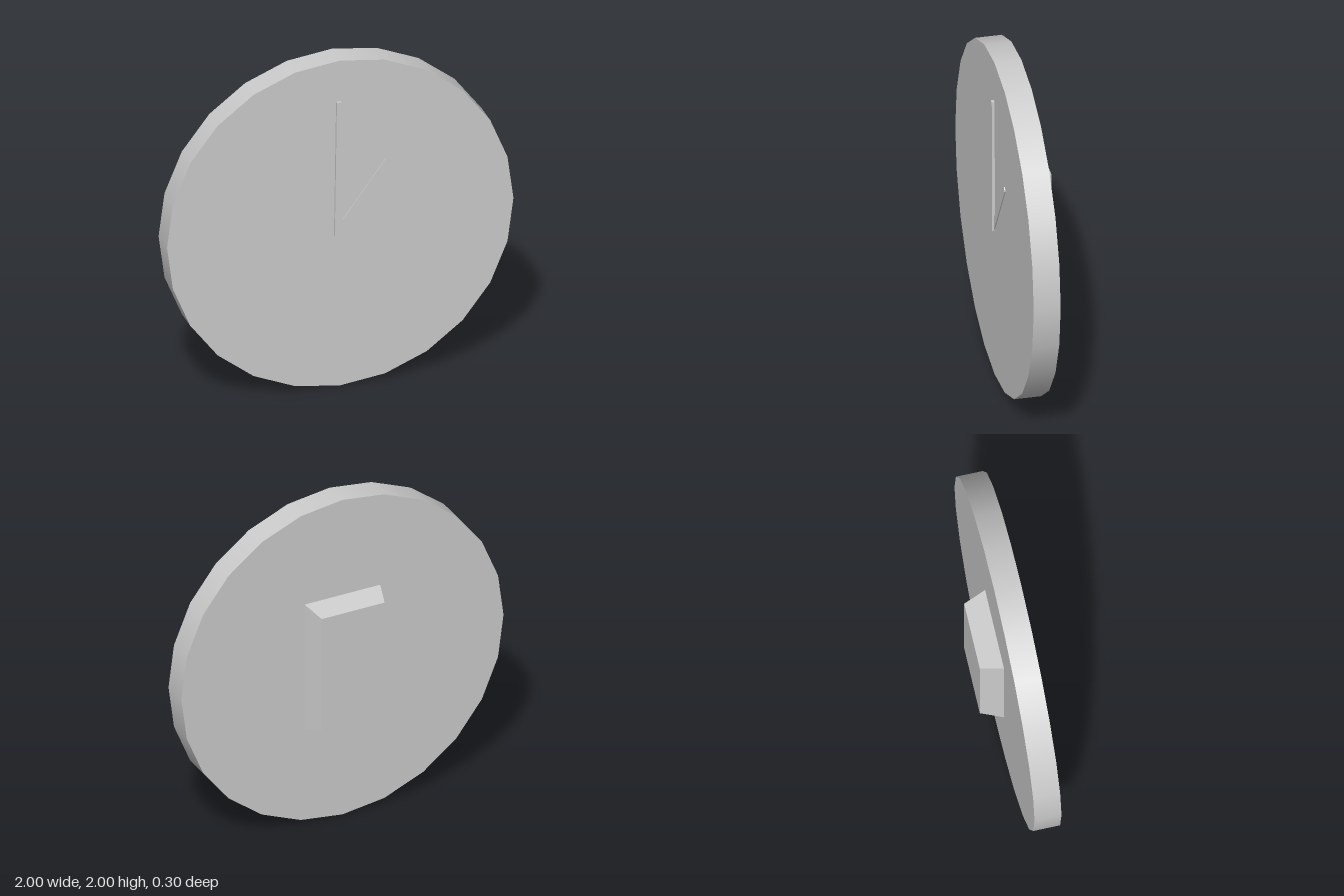
import * as THREE from 'three';

const grey = new THREE.MeshStandardMaterial({ color: 0xcccccc });
const flatGrey = new THREE.MeshStandardMaterial({ color: 0xcccccc, flatShading: true });

// Flat hand extruded forward from the dial
function hand(name, corners, depth) {
  const shape = new THREE.Shape(corners.map(([x, y]) => new THREE.Vector2(x, y)));
  const geometry = new THREE.ExtrudeGeometry(shape, { depth, bevelEnabled: false });
  const mesh = new THREE.Mesh(geometry, flatGrey);
  mesh.name = name;
  mesh.position.z = 0.13;
  return mesh;
}

export function createModel() {
  const clock = new THREE.Group();
  clock.name = 'wallClock';

  // 24-sided dial
  const dial = new THREE.Mesh(new THREE.CylinderGeometry(1, 1, 0.152, 24), grey);
  dial.name = 'dial';
  dial.rotation.x = Math.PI / 2;
  dial.position.set(0, 1, 0.054);
  clock.add(dial);

  // Movement housing, tapering towards the back
  const box = new THREE.BoxGeometry(0.47, 0.79, 0.128);
  const p = box.attributes.position;
  for (let i = 0; i < p.count; i++) {
    if (p.getZ(i) < 0) p.setXY(i, Math.sign(p.getX(i)) * 0.195, Math.sign(p.getY(i)) * 0.357);
  }
  box.computeVertexNormals();
  const housing = new THREE.Mesh(box, flatGrey);
  housing.name = 'movementHousing';
  housing.position.set(0, 1.003, -0.085);
  clock.add(housing);

  // Tapered hands; the hour hand lies lower than the minute hand
  clock.add(hand('minuteHand', [[-0.036, 0.93], [0.012, 0.93], [0.002, 1.75], [-0.024, 1.75]], 0.016));
  clock.add(hand('hourHand', [[-0.03, 0.96], [0.008, 0.93], [0.285, 1.342], [0.262, 1.36]], 0.006));

  return clock;
}
